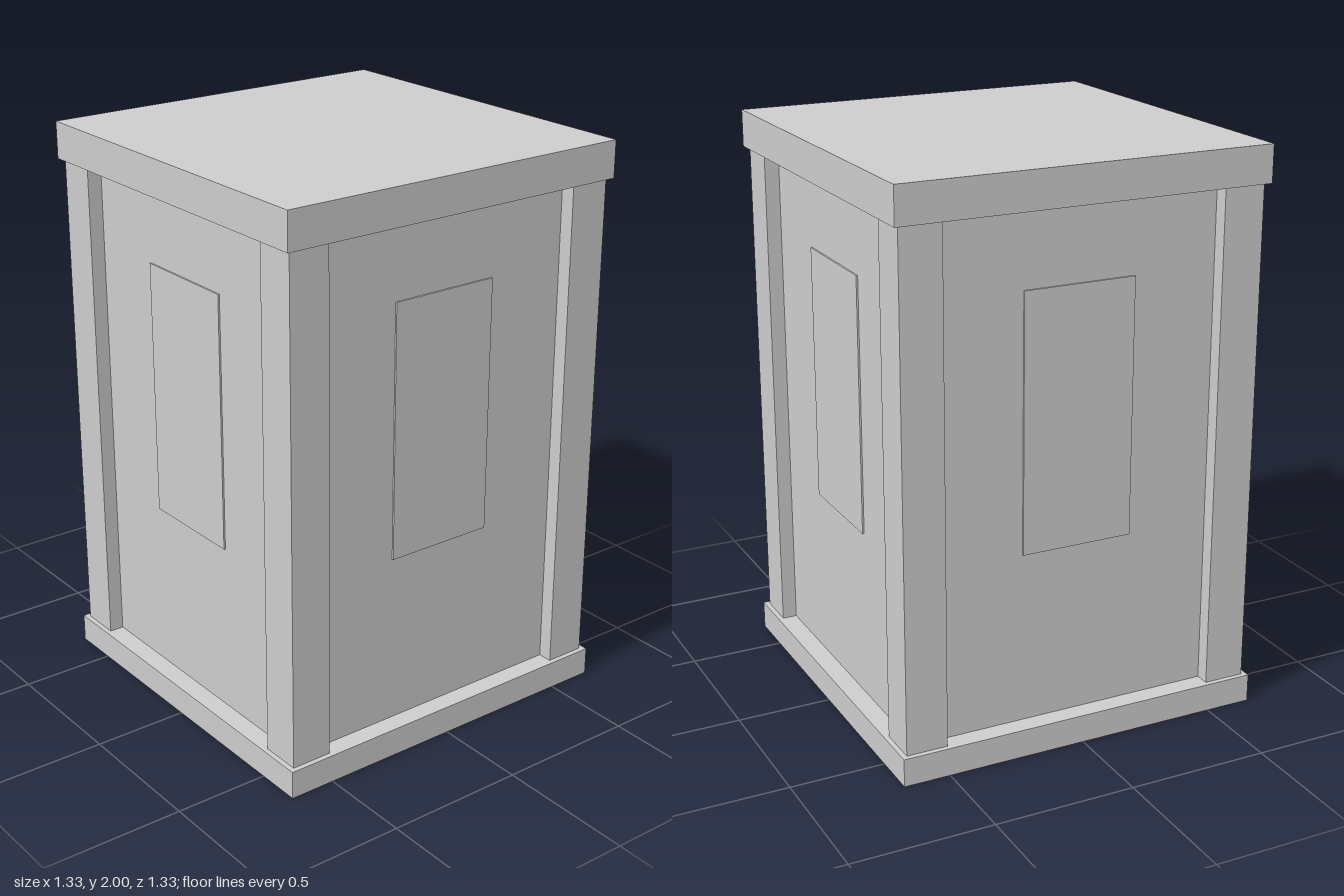
import * as THREE from 'three';

export function createModel() {
  const model = new THREE.Group();
  model.name = 'booth';
  const grey = new THREE.MeshStandardMaterial({ color: 0xcccccc });
  grey.name = 'plain grey';

  // Box standing on height y0 and reaching y1
  function addBox(name, width, depth, y0, y1, x = 0, z = 0, parent = model) {
    const mesh = new THREE.Mesh(new THREE.BoxGeometry(width, y1 - y0, depth), grey);
    mesh.name = name;
    mesh.position.set(x, (y0 + y1) / 2, z);
    parent.add(mesh);
    return mesh;
  }

  const baseTop = 0.1, roofBottom = 1.87;
  const wallHalf = 0.595, postInner = 0.5, postOuter = 0.647;

  // Base slab, walls and flat roof
  addBox('base', 1.33, 1.33, 0, baseTop);
  addBox('walls', wallHalf * 2, wallHalf * 2, baseTop, roofBottom);
  addBox('roof', 1.33, 1.33, roofBottom, 2);

  // Corner posts
  const postSize = postOuter - postInner, postMid = (postOuter + postInner) / 2;
  for (const sx of [-1, 1]) {
    for (const sz of [-1, 1]) {
      addBox('cornerPost', postSize, postSize, baseTop, roofBottom, sx * postMid, sz * postMid);
    }
  }

  // One slightly raised window panel on each side
  ['front', 'left', 'back', 'right'].forEach((side, i) => {
    const group = new THREE.Group();
    group.name = side + 'Window';
    group.rotation.y = (i * Math.PI) / 2;
    addBox(side + 'WindowPanel', 0.4, 0.008, 0.705, 1.603, 0, wallHalf + 0.002, group);
    model.add(group);
  });

  return model;
}
